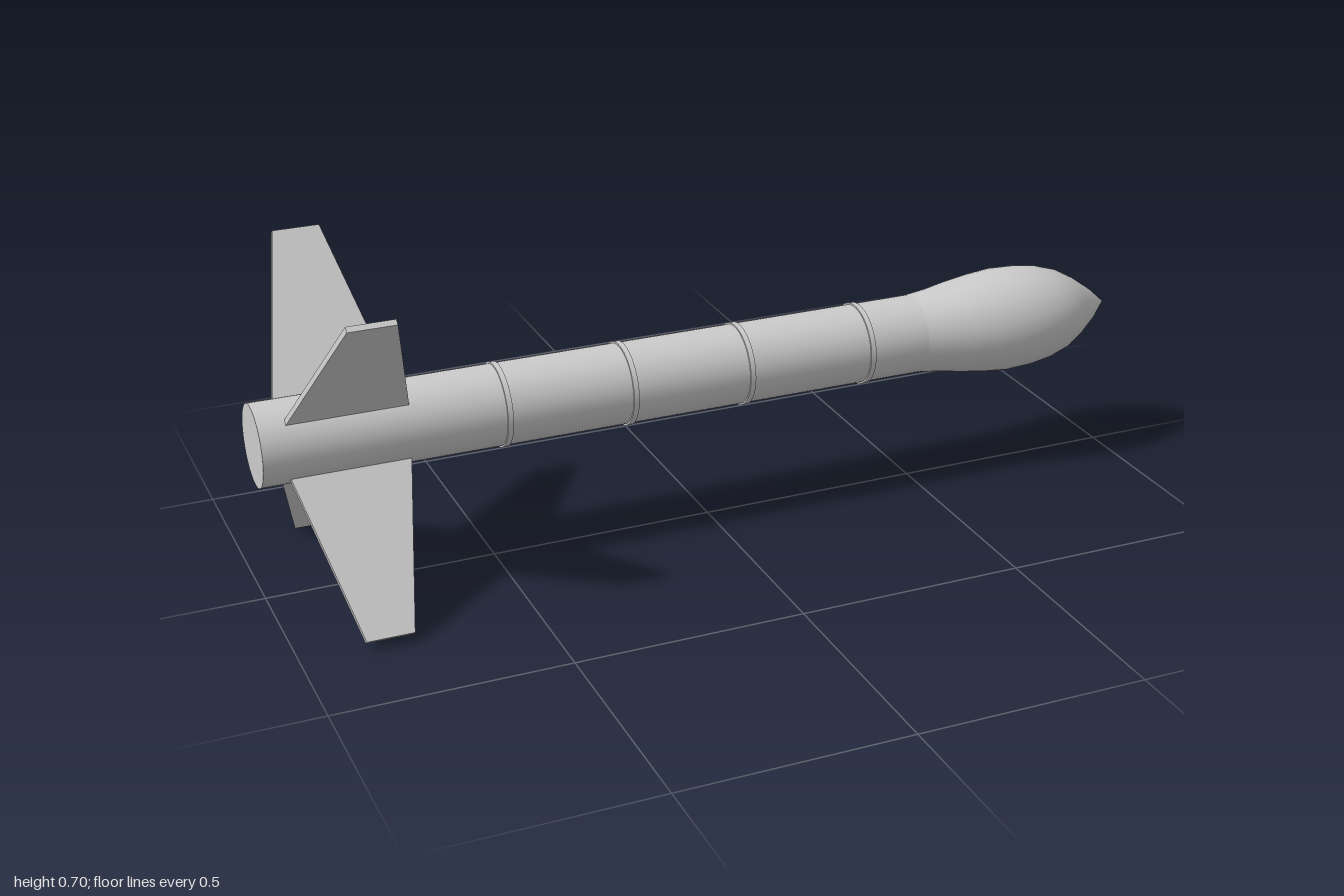
import * as THREE from 'three';

const AXIS_Y = 0.354, AXIS_Z = -0.002, BODY_R = 0.088;

export function createModel() {
  const model = new THREE.Group();
  model.name = 'rocket';
  const material = new THREE.MeshStandardMaterial({ color: 0xcccccc });
  const add = (name, geometry, parent = model) => {
    const mesh = new THREE.Mesh(geometry, material);
    mesh.name = name;
    parent.add(mesh);
    return mesh;
  };
  // Turned parts run along +x, centred on the rocket axis
  const alongX = (geometry, x) =>
    geometry.rotateZ(-Math.PI / 2).translate(x, AXIS_Y, AXIS_Z);

  // Straight body tube with a flat tail
  add('body', alongX(new THREE.CylinderGeometry(BODY_R, BODY_R, 1.5, 48), -0.25));

  // Bulbous nose flowing out of the tube into a pointed tip
  const nosePoints = [
    [BODY_R, 0.5], [0.094, 0.55], [0.103, 0.6], [0.112, 0.66], [0.1175, 0.72],
    [0.115, 0.78], [0.107, 0.83], [0.093, 0.875], [0.07, 0.915], [0.037, 0.96], [0, 1],
  ].map(([r, x]) => new THREE.Vector2(r, x));
  add('nose', alongX(new THREE.LatheGeometry(nosePoints, 48), 0));

  // Thin raised bands at the section joints
  for (const x of [-0.48, -0.2, 0.07, 0.36])
    add('jointBand', alongX(new THREE.CylinderGeometry(0.0915, 0.0915, 0.012, 48), x));

  // Tapered tail fins in an X layout, roots sunk into the tube
  const thickness = 0.013;
  const outline = new THREE.Shape([
    [-0.945, 0.076], [-0.685, 0.076], [-0.765, 0.45], [-0.865, 0.45],
  ].map(([x, y]) => new THREE.Vector2(x, y)));
  const finGeometry = new THREE.ExtrudeGeometry(outline, { depth: thickness, bevelEnabled: false });
  finGeometry.translate(0, 0, -thickness / 2);
  const fins = new THREE.Group();
  fins.name = 'tailFins';
  model.add(fins);
  const splay = THREE.MathUtils.degToRad(40.3);
  // angle from straight up, and a small height offset of the lower left fin
  for (const [angle, lift] of [
    [splay, 0], [-splay, 0], [Math.PI - splay, 0.011], [Math.PI + splay, -0.002],
  ]) {
    const fin = add('fin', finGeometry, fins);
    fin.position.set(0, AXIS_Y + lift, 0);
    fin.rotation.x = angle;
  }
  return model;
}
